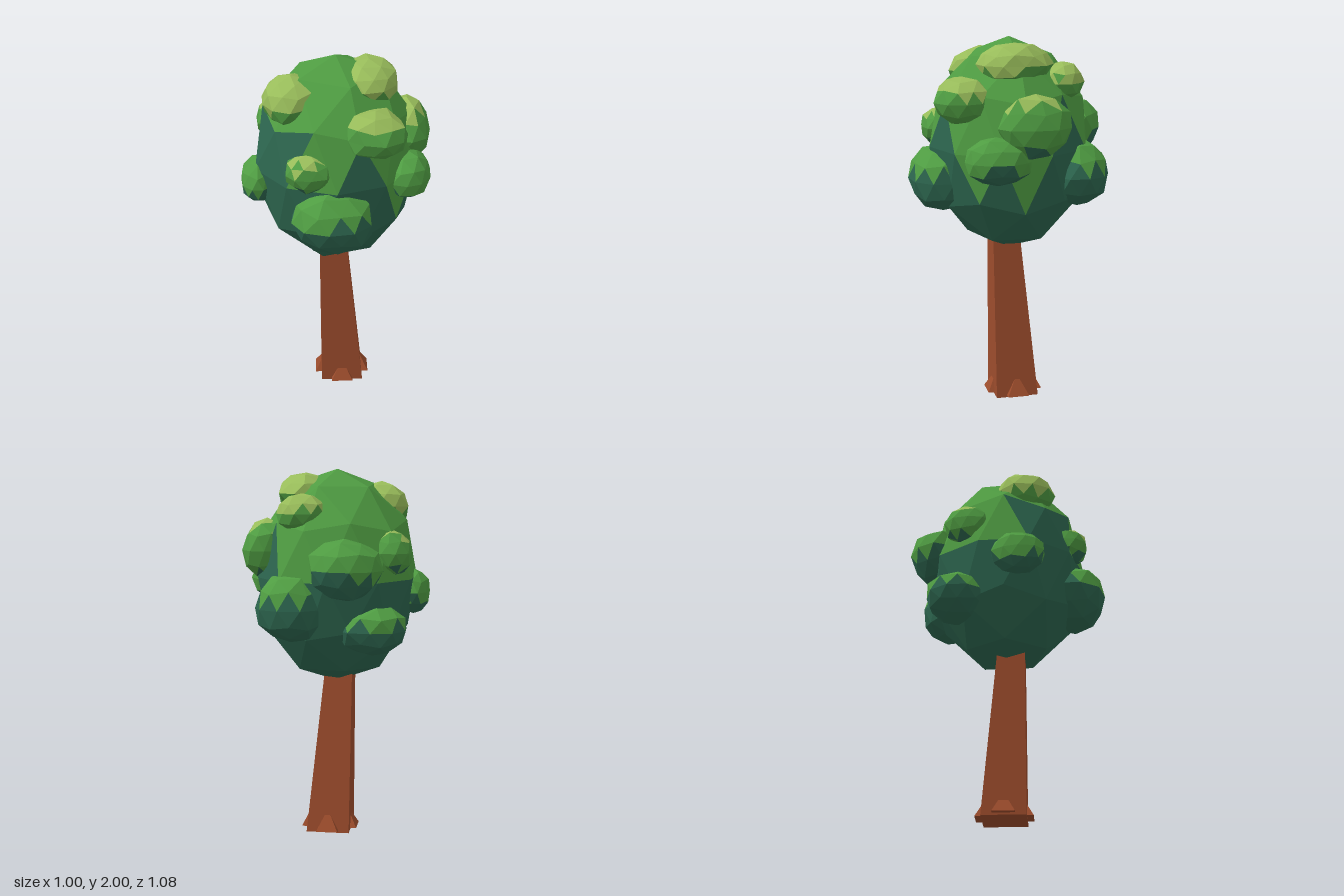
import * as THREE from 'three';

const mat = (name, color) => {
  const m = new THREE.MeshStandardMaterial({ color });
  m.name = name;
  return m;
};

// repeatable jitter: equal corners always move together
const jitter = (x, y, z, seed) => {
  const s = Math.sin(Math.round(x * 100) * 12.99 + Math.round(y * 100) * 78.23 + Math.round(z * 100) * 37.72 + seed * 5.13) * 4375.85;
  return (s - Math.floor(s)) * 2 - 1;
};

// faceted leaf ball with a corner at the top; pick() chooses a material index per face
function leafBall(center, radii, amount, seed, turn, pick) {
  const g = new THREE.IcosahedronGeometry(1, 1);
  g.rotateZ(-Math.atan(2 / (1 + Math.sqrt(5))));
  g.rotateY(turn);
  const p = g.attributes.position;
  for (let i = 0; i < p.count; i++) {
    const x = p.getX(i), y = p.getY(i), z = p.getZ(i);
    const k = Math.abs(y) > 0.99 ? 1 : 1 + amount * jitter(x, y, z, seed);
    p.setXYZ(i, center[0] + x * radii[0] * k, center[1] + y * radii[1] * k, center[2] + z * radii[2] * k);
  }
  g.computeVertexNormals();
  for (let f = 0; f < p.count; f += 3) {
    const c = [0, 0, 0];
    for (let j = f; j < f + 3; j++) {
      c[0] += (p.getX(j) - center[0]) / radii[0] / 3;
      c[1] += (p.getY(j) - center[1]) / radii[1] / 3;
      c[2] += (p.getZ(j) - center[2]) / radii[2] / 3;
    }
    g.addGroup(f, 3, pick(c));
  }
  return g;
}

export function createModel() {
  const tree = new THREE.Group();
  tree.name = 'tree';
  const bark = mat('bark brown', 0x9c4c2c);
  const leaves = [mat('deep green', 0x2d664f), mat('leaf green', 0x4f9c42), mat('light green', 0x98bc5a)];
  const add = (name, geometry, material) => {
    const m = new THREE.Mesh(geometry, material);
    m.name = name;
    tree.add(m);
  };

  // square trunk that tapers and leans
  const trunk = new THREE.CylinderGeometry(0.073 * Math.SQRT2, 0.118 * Math.SQRT2, 0.95, 4).toNonIndexed();
  trunk.rotateY(Math.PI / 4);
  trunk.translate(0, 0.48, 0);
  const tp = trunk.attributes.position;
  for (let i = 0; i < tp.count; i++) {
    const t = tp.getY(i) / 0.95;
    tp.setX(i, tp.getX(i) + 0.037 - 0.052 * t);
    tp.setZ(i, tp.getZ(i) - 0.025 + 0.042 * t);
  }
  trunk.computeVertexNormals();
  add('trunk', trunk, bark);

  // pointed roots, one on each side of the trunk
  for (let i = 0; i < 4; i++) {
    const a = (i * Math.PI) / 2;
    const root = new THREE.ConeGeometry(0.085, 0.115, 4).toNonIndexed();
    root.computeVertexNormals();
    root.rotateY(Math.PI / 4);
    root.translate(0.037 + Math.cos(a) * 0.093, 0.0745, -0.025 + Math.sin(a) * 0.093);
    add('root', root, bark);
  }

  // main crown: height of the deep green edge for each 36 degrees, from +x towards +z
  const edge = [-0.2, -0.2, 0.18, 0.1, 0.35, 0, -0.1, 0, 0.15, 0.42];
  add('crown', leafBall([0, 1.4225, -0.01], [0.437, 0.5775, 0.437], 0.022, 3, 0, (c) => {
    const sector = Math.round((Math.atan2(c[2], c[0]) / Math.PI) * 5 + 10) % 10;
    return c[1] < edge[sector] ? 0 : 1;
  }), leaves);

  // leaf clumps: centre, radii, height where light green starts, height where deep green ends
  const clumps = [
    [[-0.23, 1.80, 0.10], [0.15, 0.135, 0.165], -0.2, -2],
    [[0.17, 1.87, 0.00], [0.16, 0.11, 0.195], -0.3, -2],
    [[0.19, 1.69, 0.28], [0.17, 0.125, 0.155], 0.42, -2],
    [[-0.14, 1.51, 0.34], [0.13, 0.105, 0.105], 0.55, -0.6],
    [[-0.02, 1.25, 0.36], [0.215, 0.18, 0.185], 2, 0.2],
    [[-0.41, 1.34, 0.07], [0.095, 0.125, 0.145], 2, -0.35],
    [[0.375, 1.57, -0.06], [0.13, 0.17, 0.2], 0.65, -0.8],
    [[0.365, 1.40, 0.13], [0.13, 0.13, 0.18], 2, -0.3],
    [[0.20, 1.285, -0.34], [0.19, 0.18, 0.165], 2, 0.28],
    [[-0.09, 1.49, -0.385], [0.195, 0.16, 0.16], 2, -0.05],
    [[-0.22, 1.17, -0.26], [0.195, 0.14, 0.185], 2, 0.25],
    [[0.15, 1.77, -0.26], [0.14, 0.105, 0.115], 0.1, -2],
    [[-0.31, 1.57, -0.20], [0.12, 0.12, 0.135], 0.7, -0.8],
  ];
  clumps.forEach(([center, radii, light, deep], i) => {
    add('leafClump', leafBall(center, radii, 0.07, i + 10, i * 1.7, (c) => {
      const h = c[1] + 0.28 * jitter(c[0], c[1], c[2], i);
      return h > light ? 2 : h < deep ? 0 : 1;
    }), leaves);
  });

  return tree;
}
